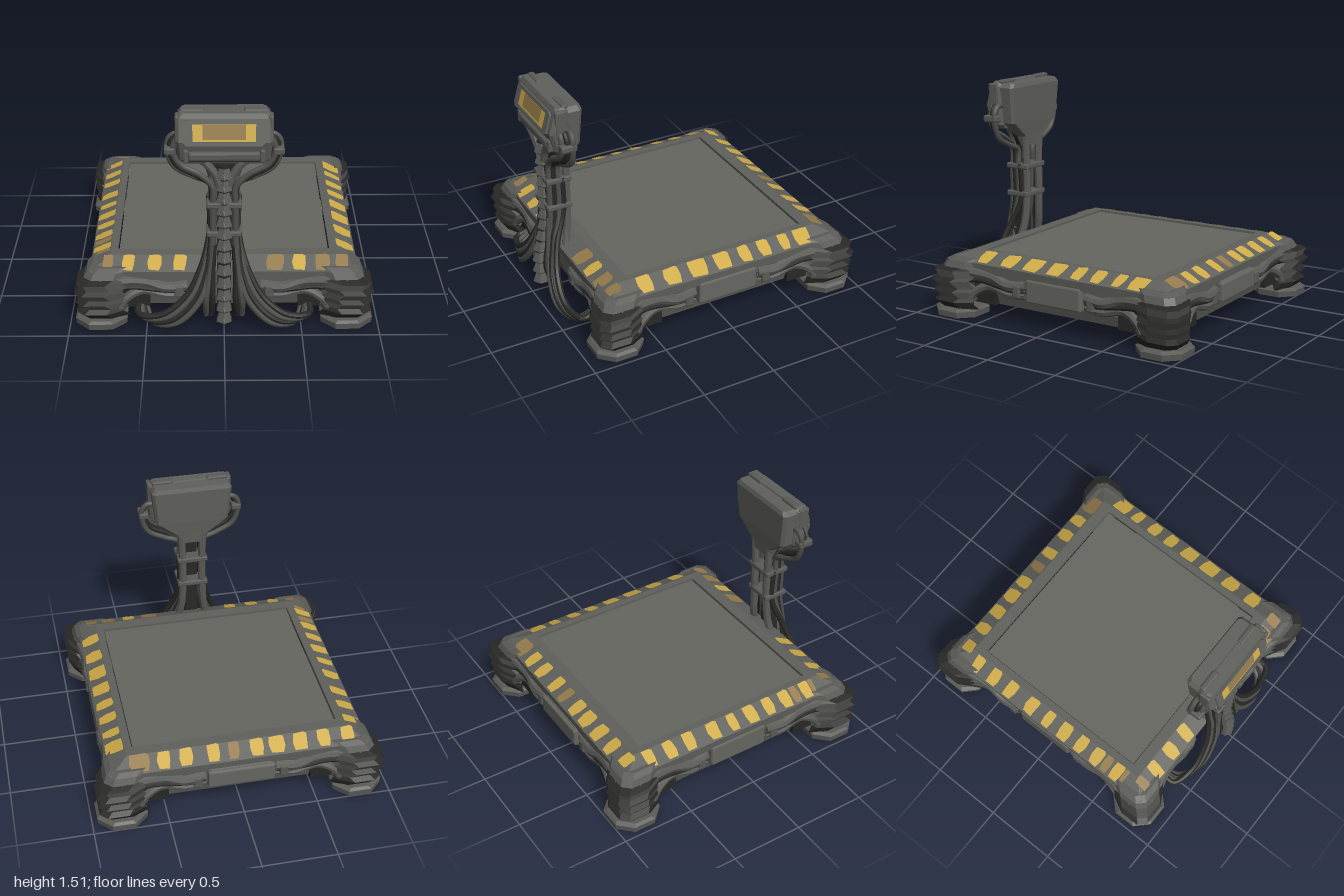
import * as THREE from 'three';
import { RoundedBoxGeometry } from 'three/addons/geometries/RoundedBoxGeometry.js';

const mat = (name, color, extra = {}) => {
  const m = new THREE.MeshStandardMaterial({ color, ...extra });
  m.name = name;
  return m;
};

export function createModel() {
  const flat = { flatShading: true };
  const M = {
    frame: mat('frame grey', 0x60605c, { ...flat, side: THREE.DoubleSide }),
    panel: mat('panel grey', 0x666661, flat),
    metal: mat('rib metal', 0x5a5a57, flat),
    hose: mat('hose grey', 0x50504d),
    dark: mat('dark recess', 0x282826, { ...flat, side: THREE.DoubleSide }),
    yellow: mat('warning yellow', 0xcfac49, { side: THREE.DoubleSide }),
    worn: mat('worn yellow', 0x967b4c, { side: THREE.DoubleSide }),
  };
  const root = new THREE.Group();
  root.name = 'platformScale';

  const add = (parent, name, geo, material, x = 0, y = 0, z = 0) => {
    const m = new THREE.Mesh(geo, material);
    m.name = name;
    m.position.set(x, y, z);
    parent.add(m);
    return m;
  };
  const group = (parent, name) => {
    const g = new THREE.Group();
    g.name = name;
    parent.add(g);
    return g;
  };
  const box = (parent, name, w, h, d, material, x, y, z) =>
    add(parent, name, new THREE.BoxGeometry(w, h, d), material, x, y, z);
  const pad = (parent, name, w, h, d, r, material, x, y, z) =>
    add(parent, name, new RoundedBoxGeometry(w, h, d, 1, r), material, x, y, z);
  const tube = (parent, name, pts, r, material) => {
    const curve = new THREE.CatmullRomCurve3(pts.map(p => new THREE.Vector3(...p)));
    return add(parent, name, new THREE.TubeGeometry(curve, pts.length * 6, r, 8), material);
  };

  // Skin through rings of [x, y, z] running from +x towards +z, bottom to top
  const loft = (rings, caps = true) => {
    const pos = [], n = rings[0].length;
    const tri = (...ps) => ps.forEach(p => pos.push(...p));
    for (let i = 0; i + 1 < rings.length; i++) {
      for (let j = 0; j < n; j++) {
        const k = (j + 1) % n, a = rings[i], b = rings[i + 1];
        tri(a[j], b[j], b[k]);
        tri(a[j], b[k], a[k]);
      }
    }
    if (caps) [rings[0], rings[rings.length - 1]].forEach((ring, top) => {
      const c = [0, 1, 2].map(q => ring.reduce((s, p) => s + p[q], 0) / n);
      for (let j = 0; j < n; j++) {
        const k = (j + 1) % n;
        top ? tri(c, ring[k], ring[j]) : tri(c, ring[j], ring[k]);
      }
    });
    const g = new THREE.BufferGeometry();
    g.setAttribute('position', new THREE.Float32BufferAttribute(pos, 3));
    g.computeVertexNormals();
    return g;
  };
  // Rectangular ring with cut corners
  const rect = (y, hx, z0, z1, c = 0.02) => [
    [hx, y, z0 + c], [hx, y, z1 - c], [hx - c, y, z1], [c - hx, y, z1],
    [-hx, y, z1 - c], [-hx, y, z0 + c], [c - hx, y, z0], [hx - c, y, z0]];

  // ---------- Platform, hollow underneath ----------
  const base = group(root, 'platform');
  base.position.z = -0.035;
  const sq = (y, hx, hz = hx) => rect(y, hx, -hz, hz, 0.004);
  add(base, 'rim', loft([sq(0.31, 0.82), sq(0.31, 0.86), sq(0.372, 0.865), sq(0.43, 0.738),
    sq(0.43, 0.69, 0.66), sq(0.408, 0.69, 0.66)], false), M.frame);
  box(base, 'weighingPanel', 1.366, 0.02, 1.306, M.panel, 0, 0.407, 0);
  add(base, 'skirt', loft([sq(0.1, 0.785), sq(0.1, 0.8), sq(0.17, 0.82), sq(0.33, 0.825)], false), M.frame);

  // Painted stripes [position, width, worn]; sides run front, +x, back, -x
  const stripes = [
    [[-0.75, 0.07, 1], [-0.62, 0.08], [-0.45, 0.095], [-0.285, 0.085], [0.33, 0.12, 1],
      [0.485, 0.085], [0.635, 0.095, 1], [0.762, 0.09, 1]],
    [[-0.575, 0.105], [-0.38, 0.12], [-0.195, 0.13], [-0.01, 0.12], [0.16, 0.085], [0.31, 0.085],
      [0.465, 0.075], [0.61, 0.12]],
    [[-0.66, 0.14, 1], [-0.5, 0.085], [-0.355, 0.09], [-0.175, 0.085], [-0.04, 0.075, 1],
      [0.115, 0.09], [0.25, 0.11], [0.41, 0.1], [0.57, 0.085], [0.73, 0.09]],
    [[-0.655, 0.075], [-0.5, 0.08], [-0.35, 0.085], [-0.16, 0.09], [-0.005, 0.075], [0.14, 0.095],
      [0.285, 0.08], [0.425, 0.08], [0.51, 0.06, 1], [0.6, 0.08], [0.66, 0.03, 1]],
  ];
  let seed = 7;
  const rnd = () => (seed = (seed * 16807) % 2147483647) / 2147483647;
  const stripeGeo = (u, w) => {
    const j = s => (rnd() - 0.5) * s;
    const shape = new THREE.Shape([[-0.42, 0.1], [0.34, 0.07], [0.48, 0.45], [0.5, 0.9],
      [0.3, 0.98], [-0.4, 0.95], [-0.5, 0.5]].map(([x, t]) =>
      new THREE.Vector2(u + x * w + j(0.01), t + j(0.05))));
    const g = new THREE.ShapeGeometry(shape), p = g.attributes.position;
    for (let i = 0; i < p.count; i++) {
      const t = p.getY(i);
      p.setXYZ(i, p.getX(i), 0.376 + t * 0.058, 0.866 - t * 0.127);
    }
    g.computeVertexNormals();
    return g;
  };

  // Leg outline: heavy corner with flares running back to the platform edge
  const legRing = (y, o, back) => {
    const half = [[o, o - 0.05], [o - 0.05, o], [o - 0.19, o], [o - 0.3, o - 0.06]];
    return [[o - 0.06, y, o - 0.3], [o, y, o - 0.19], ...half.map(([x, z]) => [x, y, z]),
      [back, y, 0.8], [back + 0.06, y, back + 0.06], [0.8, y, back]];
  };
  const legRings = [[0.05, 0.91, 0.7], [0.1, 0.95, 0.7], [0.125, 0.92, 0.68],
    [0.17, 0.955, 0.67], [0.19, 0.925, 0.66], [0.245, 0.965, 0.63], [0.265, 0.935, 0.62],
    [0.315, 0.95, 0.6], [0.33, 0.905, 0.6], [0.372, 0.885, 0.62], [0.392, 0.85, 0.64]]
    .map(r => legRing(...r));
  for (let k = 0; k < 4; k++) {
    const side = group(base, 'side' + k);
    side.rotation.y = k * Math.PI / 2;
    for (const [u, w, worn] of stripes[k]) {
      const geo = stripeGeo(u, w), name = worn ? 'wornStripe' : 'stripe';
      const paint = worn ? M.worn : M.yellow;
      add(side, name, geo, paint);
      add(side, name + 'Underside', geo, paint, 0, -0.011, 0);
    }
    if (k) {
      pad(side, 'sidePlate', 0.43, 0.16, 0.07, 0.015, M.panel, 0, 0.245, 0.835);
      if (k === 2) pad(side, 'backLatch', 0.45, 0.13, 0.05, 0.012, M.panel, 0, 0.25, 0.865);
    }

    // Leg of stacked ribs with dark grooves, on an octagonal foot
    const leg = group(side, 'leg');
    for (let i = 0; i + 1 < legRings.length; i++) {
      const groove = i === 0 || (i % 2 === 1 && i < 9);
      add(leg, groove ? 'legGroove' : 'legRib', loft([legRings[i], legRings[i + 1]]),
        groove ? M.dark : M.metal);
    }
    const foot = (y, h) => rect(y, h, -h, h, 0.09);
    add(leg, 'foot', loft([foot(0, 0.165), foot(0.04, 0.168), foot(0.055, 0.15)]),
      M.metal, 0.797, 0, 0.797);

    // Arms reaching along both adjoining edges, over a dark web
    for (const swap of [false, true]) {
      const arm = (name, pts, r, m) =>
        tube(leg, name, pts.map(([x, y, z]) => swap ? [z, y, x] : [x, y, z]), r, m);
      arm('upperArm', [[0.8, 0.3, 0.89], [0.64, 0.305, 0.855], [0.5, 0.29, 0.84],
        [0.38, 0.255, 0.85], [0.24, 0.26, 0.835]], 0.037, M.metal);
      arm('lowerArm', [[0.69, 0.09, 0.87], [0.64, 0.17, 0.86], [0.53, 0.225, 0.84],
        [0.36, 0.195, 0.845], [0.24, 0.205, 0.83]], 0.03, M.metal);
      arm('armHose', [[0.75, 0.24, 0.88], [0.6, 0.26, 0.86], [0.45, 0.24, 0.855],
        [0.33, 0.225, 0.85], [0.24, 0.23, 0.84]], 0.018, M.dark);
      const web = [0.6, 0.2, 0.815], clamp = [0.29, 0.23, 0.845];
      if (swap) [web, clamp].forEach(p => p.reverse());
      box(leg, 'armWeb', swap ? 0.05 : 0.24, 0.2, swap ? 0.24 : 0.05, M.dark, ...web);
      pad(leg, 'armClamp', swap ? 0.07 : 0.06, 0.09, swap ? 0.06 : 0.07, 0.012, M.metal, ...clamp);
    }
  }

  // ---------- Post ----------
  const post = group(root, 'post');
  box(post, 'core', 0.09, 1.0, 0.08, M.dark, 0, 0.62, 0.845);
  for (const x of [-0.2, 0, 0.2])
    box(post, 'mountBlock', 0.1, x ? 0.16 : 0.26, 0.14, x ? M.dark : M.metal, x, x ? 0.2 : 0.25, 0.68);
  for (const y of [0.68, 0.88]) pad(post, 'collar', 0.22, 0.04, 0.18, 0.01, M.metal, 0, y, 0.81);
  // Spine of tapering segments, leaning forward at the foot
  for (let i = 0; i < 13; i++) {
    const y = 0.11 + i * 0.083;
    const z = 0.875 + 0.055 * THREE.MathUtils.smoothstep(0.6 - y, 0, 0.35);
    const bone = group(post, 'spineSegment');
    bone.position.set(0, y, z);
    add(bone, 'segmentBody', new THREE.CylinderGeometry(0.036, 0.056, 0.066, 6), M.metal);
    add(bone, 'segmentDisc', new THREE.CylinderGeometry(0.036, 0.036, 0.02, 6), M.dark, 0, 0.042, 0);
    const spur = add(bone, 'segmentSpur', new THREE.ConeGeometry(0.028, 0.06, 5), M.metal, 0, -0.008, 0.035);
    spur.rotation.x = 2.2;
  }
  for (const s of [1, -1]) {
    const sideTube = (name, pts, r, m) => tube(post, name, pts.map(([x, y, z]) => [s * x, y, z]), r, m);
    sideTube('backRail', [[0.12, 0.3, 0.8], [0.085, 0.46, 0.765], [0.072, 0.65, 0.75],
      [0.072, 0.9, 0.75], [0.08, 1.12, 0.75]], 0.028, M.metal);
    // Hoses sweeping down and outwards, then looping under the platform
    for (let i = 0; i < 4; i++) {
      const d = i * 0.03, q = i * 0.006, z = 0.87 - i * 0.028;
      sideTube('lowerHose', [[0.072 + q, 0.9, z], [0.072 + q, 0.64, z],
        [0.09 + d * 0.6, 0.43, 0.88 - q], [0.155 + d, 0.22 + q, 0.93 - q],
        [0.31 + d, 0.06 + d * 0.6, 0.945 - q], [0.46 + d, 0.035 + d * 0.6, 0.88],
        [0.51 + d * 0.5, 0.1 + q, 0.78]], 0.022, i % 2 ? M.dark : M.hose);
    }
    for (let i = 0; i < 2; i++)
      sideTube('innerHose', [[0.066, 0.6, 0.88], [0.075 + i * 0.015, 0.4, 0.9], [0.075 + i * 0.04, 0.22, 0.92],
        [0.085 + i * 0.03, 0.08, 0.87]], 0.02, i ? M.hose : M.dark);
    // Hoses climbing around the sides of the head
    for (let i = 0; i < 3; i++) {
      const d = i * 0.019, z = 0.87 - i * 0.03;
      sideTube('upperHose', [[0.07 + d * 0.4, 0.88, z], [0.074 + d * 0.4, 1.0, z], [0.15 + d, 1.085 - d, z],
        [0.27 + d, 1.155 - d, z], [0.312 + d, 1.23, z], [0.305 + d, 1.3, z], [0.27 + d, 1.335, z],
        [0.22, 1.33, z]], 0.02, i === 1 ? M.dark : M.hose);
    }
    pad(post, 'hoseClip', 0.07, 0.05, 0.11, 0.012, M.metal, s * 0.335, 1.25, 0.84);
    sideTube('neckStrut', [[0.03, 1.02, 0.88], [0.06, 1.1, 0.88], [0.12, 1.18, 0.88]], 0.026, M.metal);
  }

  // ---------- Display head ----------
  const head = group(root, 'displayHead');
  add(head, 'backHousing', loft([rect(1.03, 0.1, 0.73, 0.79), rect(1.1, 0.12, 0.725, 0.81),
    rect(1.21, 0.26, 0.715, 0.84), rect(1.46, 0.285, 0.705, 0.84), rect(1.49, 0.26, 0.715, 0.83)]), M.frame);
  add(head, 'neckFunnel', loft([rect(1.03, 0.05, 0.79, 0.87), rect(1.18, 0.13, 0.78, 0.88)]), M.dark);
  add(head, 'frontHousing', loft([rect(1.17, 0.255, 0.8, 0.885), rect(1.2, 0.285, 0.8, 0.9),
    rect(1.33, 0.295, 0.8, 0.935), rect(1.47, 0.295, 0.8, 0.895), rect(1.5, 0.27, 0.81, 0.88)]), M.frame);
  box(head, 'barRecess', 0.5, 0.085, 0.02, M.dark, 0, 1.235, 0.903);
  pad(head, 'lowerBar', 0.44, 0.06, 0.05, 0.015, M.metal, 0, 1.235, 0.915);
  // Framed screen tilted upwards
  const screen = group(head, 'screen');
  screen.position.set(0, 1.39, 0.923);
  screen.rotation.x = -0.28;
  const frame = new THREE.Shape([[-0.25, -0.06], [-0.23, -0.08], [0.23, -0.08], [0.25, -0.06], [0.25, 0.06],
    [0.23, 0.08], [-0.23, 0.08], [-0.25, 0.06]].map(p => new THREE.Vector2(...p)));
  frame.holes.push(new THREE.Path([[-0.195, -0.055], [-0.195, 0.055], [0.195, 0.055], [0.195, -0.055]]
    .map(p => new THREE.Vector2(...p))));
  add(screen, 'screenFrame', new THREE.ExtrudeGeometry(frame, { depth: 0.014, bevelEnabled: false }), M.frame);
  box(screen, 'screenGlow', 0.385, 0.106, 0.008, M.yellow, 0, 0, 0.005);
  box(screen, 'screenWorn', 0.26, 0.09, 0.003, M.worn, 0, 0.005, 0.0095);
  for (const s of [1, -1]) {
    pad(head, 'topCap', 0.15, 0.03, 0.045, 0.012, M.metal, s * 0.195, 1.497, 0.82);
    pad(head, 'cornerGuard', 0.03, 0.2, 0.08, 0.012, M.metal, s * 0.286, 1.39, 0.86);
    pad(head, 'barEnd', 0.035, 0.09, 0.05, 0.012, M.metal, s * 0.235, 1.235, 0.912);
  }
  return root;
}
